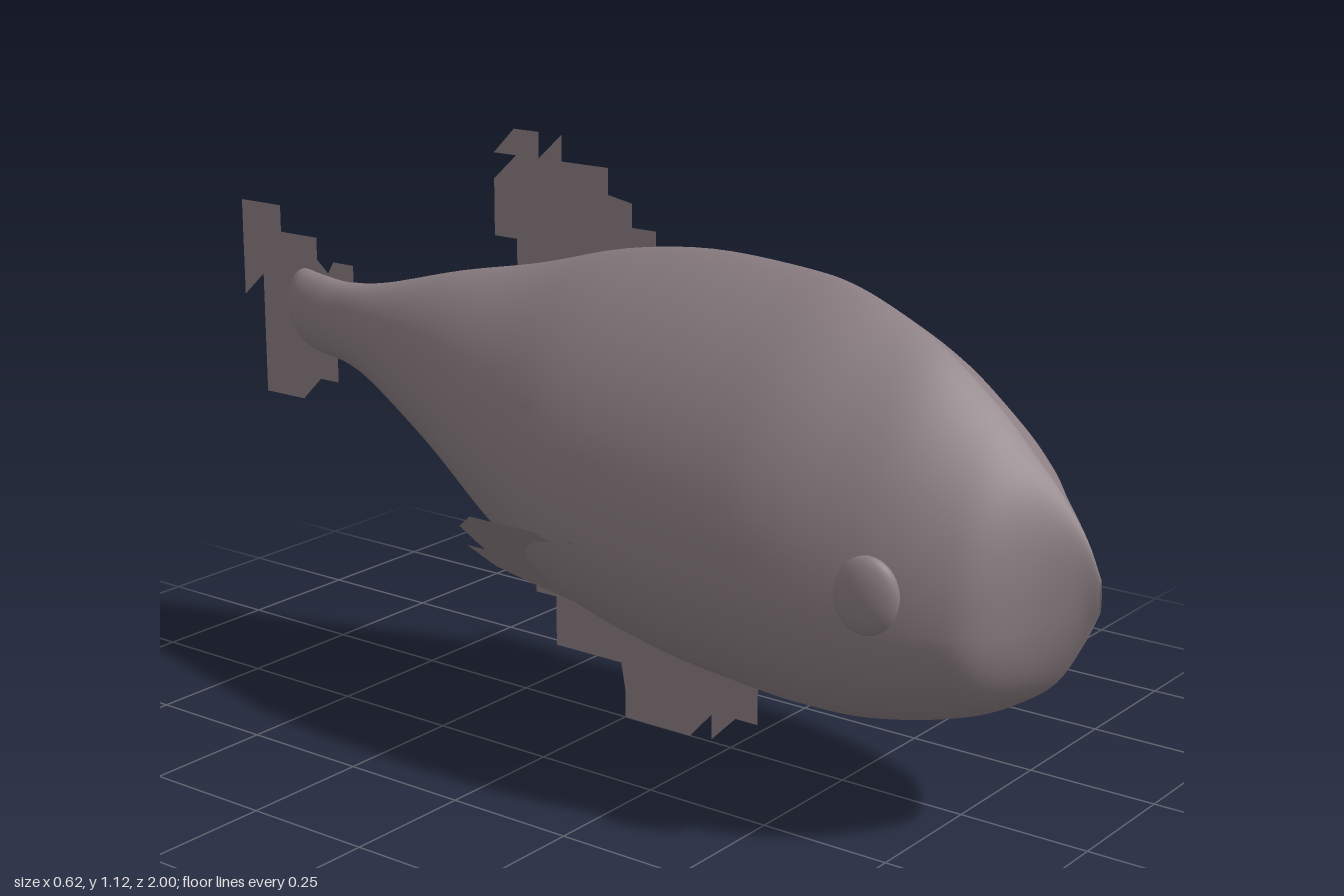
import * as THREE from 'three';

const skin = new THREE.MeshStandardMaterial({ color: 0x8c7f84, side: THREE.DoubleSide });
skin.name = 'mauve grey skin';

// Body sections, nose to tail: z, top, bottom, half width, height of widest point (0-1), top sharpness
const sections = [
  [1.0, 0.49, 0.43, 0.004, 0.45, 1.3],
  [0.97, 0.555, 0.365, 0.025, 0.42, 1.3],
  [0.92, 0.625, 0.285, 0.085, 0.36, 1.35],
  [0.86, 0.69, 0.24, 0.175, 0.36, 1.4],
  [0.8, 0.75, 0.21, 0.215, 0.37, 1.45],
  [0.7, 0.83, 0.18, 0.255, 0.38, 1.5],
  [0.6, 0.885, 0.163, 0.282, 0.38, 1.6],
  [0.5, 0.925, 0.16, 0.3, 0.38, 1.6],
  [0.4, 0.942, 0.167, 0.308, 0.38, 1.6],
  [0.2, 0.95, 0.19, 0.305, 0.38, 1.6],
  [0.0, 0.925, 0.24, 0.285, 0.39, 1.5],
  [-0.2, 0.872, 0.33, 0.222, 0.42, 1.35],
  [-0.4, 0.83, 0.45, 0.148, 0.46, 1.2],
  [-0.6, 0.778, 0.56, 0.08, 0.5, 1],
  [-0.7, 0.765, 0.597, 0.05, 0.5, 1],
  [-0.78, 0.772, 0.61, 0.043, 0.5, 1],
  [-0.83, 0.777, 0.63, 0.037, 0.5, 1],
  [-0.855, 0.75, 0.665, 0.022, 0.5, 1],
  [-0.862, 0.71, 0.69, 0.002, 0.5, 1],
];

function mesh(name, geometry) {
  const m = new THREE.Mesh(geometry, skin);
  m.name = name;
  return m;
}

// Loft a teardrop cross-section along the smoothed section table
function bodyGeometry(rings = 90, sides = 48) {
  const spline = (k) => new THREE.CatmullRomCurve3(
    sections.map((s) => new THREE.Vector3(s[k], s[k + 1], s[k + 2])), false, 'catmullrom');
  const outline = spline(0);
  const form = spline(3);
  const pos = [];
  const index = [];
  for (let i = 0; i <= rings; i++) {
    const { x: z, y: top, z: bottom } = outline.getPoint(i / rings);
    const { x: width, y: level, z: sharp } = form.getPoint(i / rings);
    const mid = bottom + (top - bottom) * level;
    for (let j = 0; j <= sides; j++) {
      const a = Math.PI / 2 - (j / sides) * Math.PI * 2;
      const c = Math.cos(a);
      const s = Math.sin(a);
      const reach = Math.abs(c) ** (s > 0 ? sharp : 1);
      pos.push(Math.sign(c) * width * reach, mid + s * (s > 0 ? top - mid : mid - bottom), z);
      if (i < rings && j < sides) {
        const p = i * (sides + 1) + j;
        const q = p + sides + 1;
        index.push(p, p + 1, q, p + 1, q + 1, q);
      }
    }
  }
  const g = new THREE.BufferGeometry();
  g.setAttribute('position', new THREE.Float32BufferAttribute(pos, 3));
  g.setIndex(index);
  g.computeVertexNormals();
  return g;
}

// Flat stepped fin from [z, y] corners; xOf gives its sideways position at each height
function finGeometry(corners, xOf = () => 0) {
  const g = new THREE.ShapeGeometry(new THREE.Shape(corners.map(([z, y]) => new THREE.Vector2(z, y))));
  const p = g.attributes.position;
  for (let i = 0; i < p.count; i++) {
    const z = p.getX(i);
    const y = p.getY(i);
    p.setXYZ(i, xOf(y), y, z);
  }
  g.computeVertexNormals();
  return g;
}

const dorsal = [
  [0.07, 0.92], [0.07, 0.965], [0.015, 0.965], [0.015, 1.01], [-0.04, 1.02], [-0.04, 1.07],
  [-0.15, 1.07], [-0.15, 1.12], [-0.205, 1.07], [-0.205, 1.12], [-0.265, 1.12], [-0.315, 1.07],
  [-0.26, 1.07], [-0.315, 1.02], [-0.315, 0.91], [-0.26, 0.91], [-0.26, 0.84],
];
const tail = [
  [-0.69, 0.74], [-0.69, 0.8], [-0.745, 0.8], [-0.76, 0.775], [-0.79, 0.8], [-0.79, 0.845],
  [-0.89, 0.845], [-0.89, 0.9], [-1, 0.9], [-1, 0.7], [-0.945, 0.75], [-0.945, 0.5],
  [-0.84, 0.5], [-0.79, 0.55], [-0.74, 0.55], [-0.74, 0.6], [-0.69, 0.6],
];
const belly = [
  [0.36, 0.2], [0.36, 0.17], [0.31, 0.13], [0.31, 0.06], [0.26, 0.06], [0.205, 0.005],
  [0.205, 0.055], [0.155, 0], [0, 0], [0, 0.055], [-0.01, 0.11], [-0.17, 0.11],
  [-0.17, 0.21], [-0.22, 0.21], [-0.22, 0.36], [0, 0.3],
];
const flank = [
  [0.18, 0.21], [0.18, 0.3], [0.15, 0.31], [0.15, 0.35], [0.11, 0.35], [0.11, 0.46],
  [0.065, 0.42], [0.03, 0.46], [-0.125, 0.46], [-0.185, 0.42], [-0.175, 0.36], [-0.22, 0.36],
  [-0.19, 0.31], [-0.12, 0.28], [0, 0.24],
];

export function createModel() {
  const model = new THREE.Group();
  model.name = 'fish';
  model.add(
    mesh('body', bodyGeometry()),
    mesh('dorsalFin', finGeometry(dorsal)),
    mesh('tailFin', finGeometry(tail)),
    mesh('bellyFin', finGeometry(belly)),
  );

  // Paired parts: side fins flaring out at 45 degrees, and bulging eyes
  for (const [side, s] of [['left', 1], ['right', -1]]) {
    model.add(mesh(side + 'SideFin', finGeometry(flank, (y) => s * (y - 0.155))));
    const eye = mesh(side + 'Eye', new THREE.SphereGeometry(1, 32, 20));
    eye.scale.set(0.027, 0.07, 0.058);
    eye.position.set(s * 0.254, 0.47, 0.7);
    eye.rotation.y = -s * 0.25;
    model.add(eye);
  }
  return model;
}
